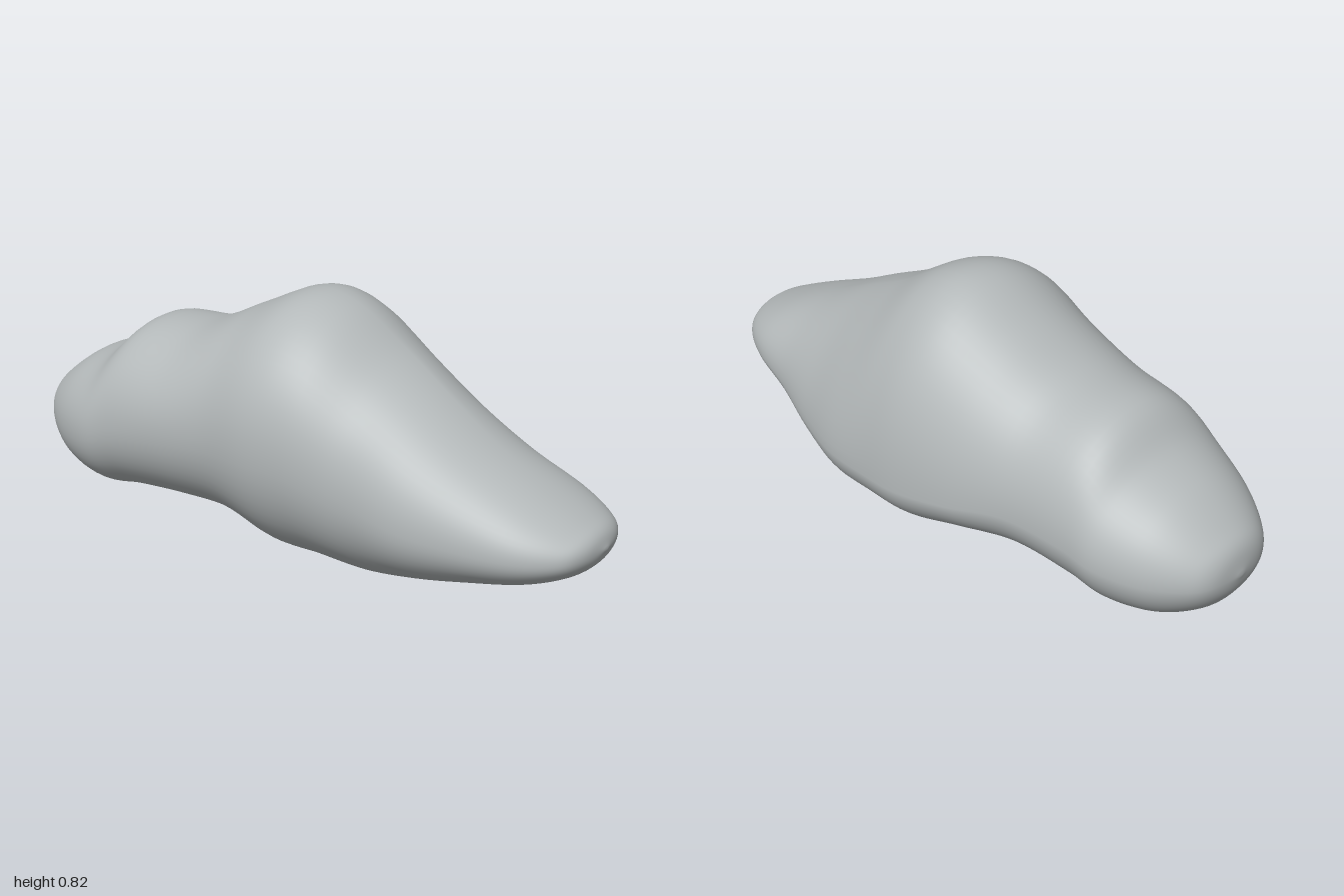
import * as THREE from 'three';
import { mergeVertices } from 'three/addons/utils/BufferGeometryUtils.js';

// Cross-sections along the rock:
// x, top y, bottom y, front z, back z, y of front bulge, y of back bulge, fullness of upper back
const SECTIONS = [
  [-1.00, 0.27, 0.27, 0.03, 0.03, 0.27, 0.27, 2.0],
  [-0.98, 0.35, 0.20, 0.14, -0.08, 0.27, 0.27, 2.0],
  [-0.93, 0.40, 0.135, 0.21, -0.15, 0.27, 0.27, 2.1],
  [-0.83, 0.47, 0.075, 0.28, -0.22, 0.27, 0.27, 2.1],
  [-0.70, 0.53, 0.05, 0.33, -0.265, 0.29, 0.28, 2.1],
  [-0.58, 0.63, 0.065, 0.335, -0.275, 0.33, 0.30, 2.1],
  [-0.38, 0.655, 0.08, 0.345, -0.295, 0.37, 0.30, 2.1],
  [-0.20, 0.74, 0.07, 0.35, -0.35, 0.40, 0.27, 2.1],
  [-0.02, 0.82, 0.015, 0.375, -0.38, 0.42, 0.24, 2.1],
  [0.13, 0.80, 0.01, 0.365, -0.38, 0.41, 0.23, 1.9],
  [0.30, 0.69, 0.005, 0.335, -0.365, 0.34, 0.22, 1.7],
  [0.48, 0.585, 0.05, 0.33, -0.31, 0.29, 0.22, 1.7],
  [0.65, 0.485, 0.095, 0.30, -0.25, 0.27, 0.24, 1.9],
  [0.82, 0.40, 0.14, 0.255, -0.205, 0.26, 0.26, 2.1],
  [0.93, 0.345, 0.185, 0.19, -0.145, 0.26, 0.265, 2.1],
  [0.98, 0.315, 0.225, 0.12, -0.075, 0.27, 0.27, 2.0],
  [1.00, 0.27, 0.27, 0.02, 0.02, 0.27, 0.27, 2.0],
];
const RINGS = 96;
const SIDES = 64;

// One point of a section made of four rounded quarters
function sectionPoint([x, top, bottom, front, back, frontY, backY, fullness], angle) {
  const s = Math.sin(angle), c = Math.cos(angle);
  const midZ = (front + back) / 2;
  const sideY = s >= 0 ? frontY : backY;
  const sideZ = s >= 0 ? front : back;
  const endY = c >= 0 ? top : bottom;
  const power = 2 / (s < 0 ? (c >= 0 ? fullness : 1.85) : 2.1);
  return [
    x,
    sideY + (endY - sideY) * Math.abs(c) ** power,
    midZ + (sideZ - midZ) * Math.abs(s) ** power,
  ];
}

// Smooth closed skin through all the sections
function loftGeometry() {
  const width = SECTIONS[0].length;
  const spline = new THREE.CubicInterpolant(
    SECTIONS.map((_, i) => i), SECTIONS.flat(), width, new Float32Array(width));
  const positions = [], indices = [];
  for (let i = 0; i <= RINGS; i++) {
    const section = [...spline.evaluate((i / RINGS) * (SECTIONS.length - 1))];
    for (let j = 0; j < SIDES; j++) {
      positions.push(...sectionPoint(section, (j / SIDES) * Math.PI * 2));
      if (i === RINGS) continue;
      const k = (j + 1) % SIDES;
      const a = i * SIDES + j, b = i * SIDES + k;
      indices.push(a, b, a + SIDES, b, b + SIDES, a + SIDES);
    }
  }
  let geometry = new THREE.BufferGeometry();
  geometry.setAttribute('position', new THREE.Float32BufferAttribute(positions, 3));
  geometry.setIndex(indices);
  geometry = mergeVertices(geometry, 1e-5);
  geometry.computeVertexNormals();
  return geometry;
}

export function createModel() {
  const group = new THREE.Group();
  group.name = 'rock';
  const stone = new THREE.MeshStandardMaterial({ color: 0xb4b9ba });
  stone.name = 'pale grey stone';
  const body = new THREE.Mesh(loftGeometry(), stone);
  body.name = 'rockBody';
  group.add(body);
  return group;
}
